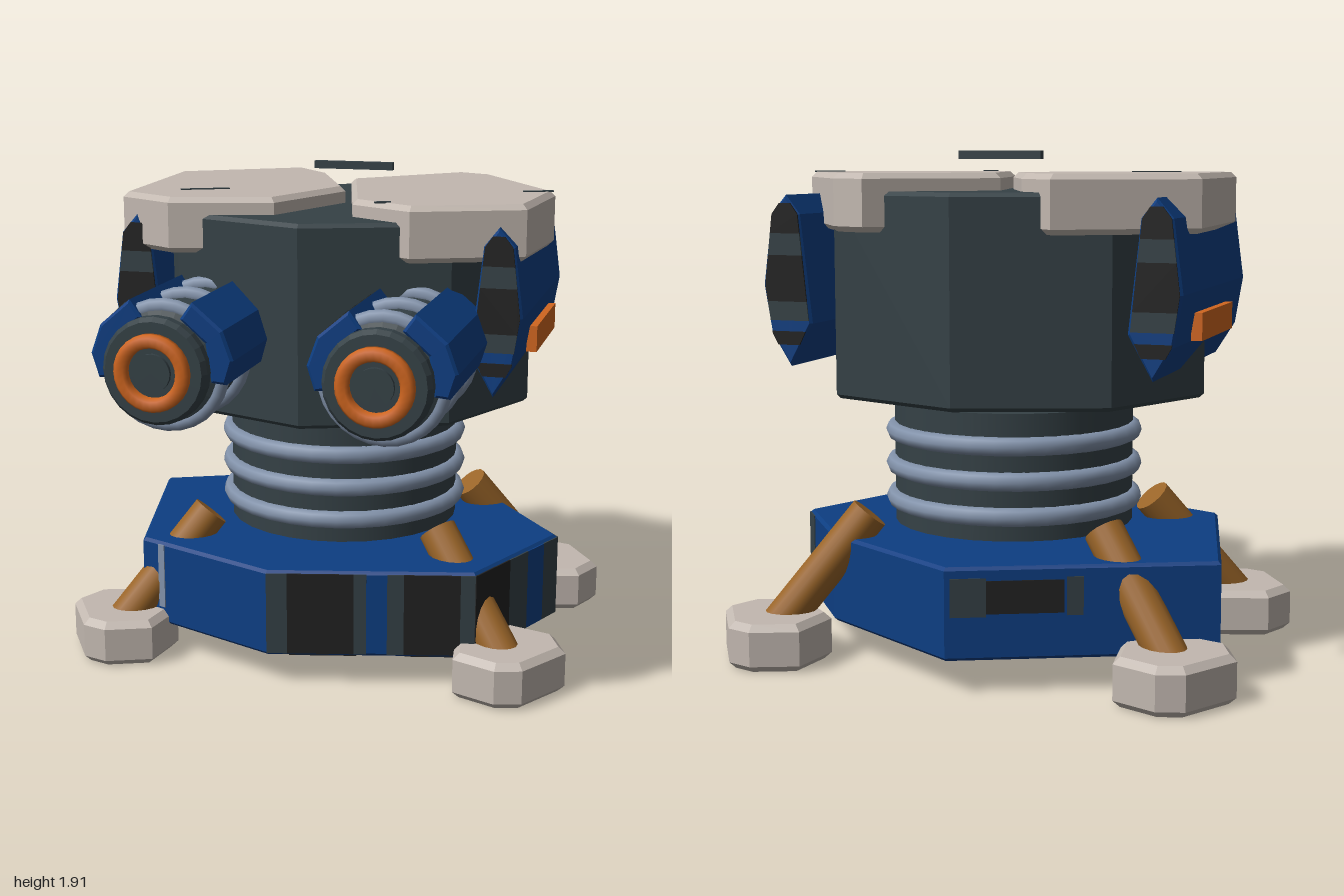
import * as THREE from 'three';

const mat = (name, color) => Object.assign(new THREE.MeshStandardMaterial({ color }), { name });
const blue = mat('navy blue paint', 0x0d3e82);
const slate = mat('dark slate', 0x354146);
const black = mat('black paint', 0x222222);
const shellWhite = mat('warm off-white', 0xc2b8b0);
const orange = mat('bright orange', 0xd0661f);
const bronze = mat('bronze strut', 0x9a6529);
const steel = mat('blue steel', 0x8292aa);

export function createModel() {
  const root = new THREE.Group();
  root.name = 'turret';

  const add = (name, geo, material, parent = root) => {
    const m = new THREE.Mesh(geo, material);
    m.name = name;
    parent.add(m);
    return m;
  };
  const extrude = (pts, depth, b) => {
    const shape = new THREE.Shape(pts.map(([x, y]) => new THREE.Vector2(x, y)));
    return new THREE.ExtrudeGeometry(shape, {
      depth: depth - 2 * b, bevelEnabled: b > 0, bevelSize: b, bevelThickness: b,
      bevelOffset: -b, bevelSegments: 1,
    }).translate(0, 0, b);
  };
  // upright slab with a plan outline of [x, z] points
  const slab = (pts, y0, y1, b = 0) =>
    extrude(pts.map(([x, z]) => [x, -z]), y1 - y0, b).rotateX(-Math.PI / 2).translate(0, y0, 0);
  const mirror = (pts, sx, sz = 1, cz = 0) => pts.map(([x, z]) => [x * sx, cz + (z - cz) * sz]);

  const midZ = -0.195;

  // Base plate
  const plan = [[0, -.93], [.6, -.57], [.89, -.18], [.66, .36], [-.11, .54], [-.7, .295], [-.9, -.52]];
  add('basePlate', slab(plan, .12, .46, .012), blue);

  // Painted stripes on the walls: wall index, start, end, colour, bottom, top
  const stripe = (wall, t0, t1, material, y0 = .13, y1 = .45) => {
    const [ax, az] = plan[wall], [bx, bz] = plan[(wall + 1) % plan.length];
    const dx = bx - ax, dz = bz - az, t = (t0 + t1) / 2;
    const m = add('baseStripe', new THREE.BoxGeometry(Math.hypot(dx, dz) * (t1 - t0), y1 - y0, .008), material);
    m.position.set(ax + dx * t, (y0 + y1) / 2, az + dz * t);
    m.rotation.y = Math.atan2(-dz, dx);
  };
  [[3, 0, .07, slate], [3, .07, .34, black], [3, .34, .42, slate], [3, .52, .58, slate],
   [3, .58, .9, black], [3, .9, 1, slate], [2, 0, .18, slate], [2, .18, .38, blue],
   [2, .38, .6, slate], [2, .6, 1, black], [1, .8, 1, slate], [4, .82, .87, steel, .19],
   [6, .5, .56, slate, .28, .42], [6, .57, .85, black, .29, .41], [6, .85, .98, slate, .28, .42],
  ].forEach((s) => stripe(...s));
  [[-.03, .22], [.4, .6]].forEach(([a, b]) => {
    const edge = (x) => .5 - x * .234;
    add('undersideStripe', slab([[a, edge(a)], [b, edge(b)], [b, edge(b) - .4], [a, edge(a) - .4]], .116, .122), black);
  });

  // Four feet and struts
  const foot = [[.77, -.94], [.87, -.91], [1, -.7], [.94, -.56], [.75, -.5], [.57, -.66], [.6, -.87]];
  for (const sx of [1, -1]) for (const sz of [1, -1]) {
    add('foot', slab(mirror(foot, sx, sz, midZ), 0, .18, .025), shellWhite);
    const a = new THREE.Vector3(.8 * sx, .08, sz > 0 ? -.72 : .36);
    const b = new THREE.Vector3(.465 * sx, .545, sz > 0 ? -.53 : .14);
    const dir = b.clone().sub(a);
    const strut = add('strut', new THREE.CylinderGeometry(.075, .075, dir.length(), 16), bronze);
    strut.position.copy(a).lerp(b, .5);
    strut.quaternion.setFromUnitVectors(new THREE.Vector3(0, 1, 0), dir.normalize());
  }

  // Neck with three rings
  add('neck', new THREE.CylinderGeometry(.46, .46, .47, 28), slate).position.set(0, .735, midZ);
  for (const y of [.59, .72, .85]) {
    const ring = add('neckRing', new THREE.TorusGeometry(.46, .035, 8, 32), steel);
    ring.rotation.x = Math.PI / 2;
    ring.position.set(0, y, midZ);
  }

  // Eight-sided head
  const head = [[0, .47], [.53, .275], [.75, midZ], [.53, -.665], [0, -.86], [-.53, -.665], [-.75, midZ], [-.53, .275]];
  add('head', slab(head, 1, 1.765, .015), slate);

  // Two irregular roof shells, scratches and the floating bar
  add('roofShellRight', slab([[-.35, -.81], [-.18, -.62], [.01, -.17], [-.155, .25], [-.54, .35], [-.77, .22], [-.81, -.52]], 1.62, 1.83, .02), shellWhite);
  add('roofShellLeft', slab([[.35, -.81], [.49, -.75], [.83, -.235], [.79, .2], [.39, .365], [.14, .22], [-.04, -.45]], 1.62, 1.83, .02), shellWhite);
  [[-.49, .07, .19], [.77, -.195, .12], [.27, .28, .06]].forEach(([x, z, len]) => {
    const s = add('roofScratch', new THREE.BoxGeometry(len, .006, .016), slate);
    s.position.set(x, 1.831, z);
    s.rotation.y = .45;
  });
  add('topBar', new THREE.BoxGeometry(.325, .03, .03), slate).position.set(0, 1.895, -.34);

  // Keep the part of an outline between two heights
  const clip = (pts, y, keepAbove) => {
    const inside = (p) => (keepAbove ? p[1] >= y : p[1] <= y);
    return pts.flatMap((p, i) => {
      const q = pts[(i + 1) % pts.length], out = inside(p) ? [p] : [];
      if (inside(p) !== inside(q)) out.push([p[0] + (q[0] - p[0]) * (y - p[1]) / (q[1] - p[1]), y]);
      return out;
    });
  };

  // Side panels with banded ends and an orange plate
  const panel = [[.69, 1.12], [.765, 1.24], [.795, 1.42], [.76, 1.68], [.7, 1.75], [.645, 1.68], [.6, 1.28]];
  const bands = [[1.61, 1.72, black], [1.53, 1.61, slate], [1.36, 1.53, black], [1.29, 1.36, slate], [1.2, 1.25, black]];
  for (const sx of [1, -1]) {
    const outline = mirror(panel, sx);
    add('sidePanel', extrude(outline, .99, .01).translate(0, 0, -.72), blue);
    for (const [y0, y1, m] of bands) {
      const pts = clip(clip(mirror(panel.map(([x, y]) => [.7 + (x - .7) * .9, y]), sx), y0, true), y1, false);
      for (const z of [.267, -.724]) add('panelBand', extrude(pts, .007, 0).translate(0, 0, z), m);
    }
    add('orangePlate', new THREE.BoxGeometry(.04, .1, .49), orange).position.set(.79 * sx, 1.293, -.245);
  }

  // Cannons
  const shroudOutline = (sx) => {
    const p = (r, deg) => [sx * r * Math.cos(deg * Math.PI / 180), r * Math.sin(deg * Math.PI / 180)];
    return [p(.19, -14), p(.245, -12), p(.27, 8), p(.27, 32), p(.265, 64), p(.19, 68), p(.19, 30)];
  };
  for (const sx of [1, -1]) {
    const gun = new THREE.Group();
    gun.name = sx > 0 ? 'cannonLeft' : 'cannonRight';
    gun.position.set(.4 * sx, 1.29, 0);
    root.add(gun);
    // barrel and stepped muzzle
    const profile = [[0, .1], [.205, .1], [.205, .8], [.17, .815], [.17, .825], [.185, .83], [.195, .845], [.195, .88], [.18, .9], [0, .9]];
    const lathe = (pts, n) => new THREE.LatheGeometry(pts.map(([r, z]) => new THREE.Vector2(r, z)), n).rotateX(Math.PI / 2).toNonIndexed();
    const barrel = lathe(profile, 24);
    barrel.computeVertexNormals();
    add('barrel', barrel, slate, gun);
    add('muzzleRing', lathe([[.09, .895], [.14, .895], [.14, .92], [.128, .935], [.1, .935], [.09, .92], [.09, .895]], 28), orange, gun);
    add('muzzleCore', new THREE.CylinderGeometry(.068, .068, .02, 20).rotateX(Math.PI / 2), slate, gun).position.z = .905;
    for (const z of [.31, .535, .775]) add('barrelRing', new THREE.TorusGeometry(.213, .03, 8, 28), steel, gun).position.z = z;
    // paired shrouds, leaving top and underside open
    for (const side of [1, -1]) add('shroud', extrude(shroudOutline(side), .62, .01).translate(0, 0, .2), blue, gun);
    // painted strip on one shroud
    const strip = new THREE.Group();
    strip.name = 'shroudMarkings';
    strip.rotation.z = 42 * Math.PI / 180;
    strip.position.set(-.1725, .188, 0);
    gun.add(strip);
    add('markingBase', new THREE.BoxGeometry(.11, .006, .54), slate, strip).position.z = .54;
    for (let i = 0; i < 5; i++) add('markingPatch', new THREE.BoxGeometry(.1, .009, .055), black, strip).position.z = .34 + i * .105;
  }
  return root;
}
